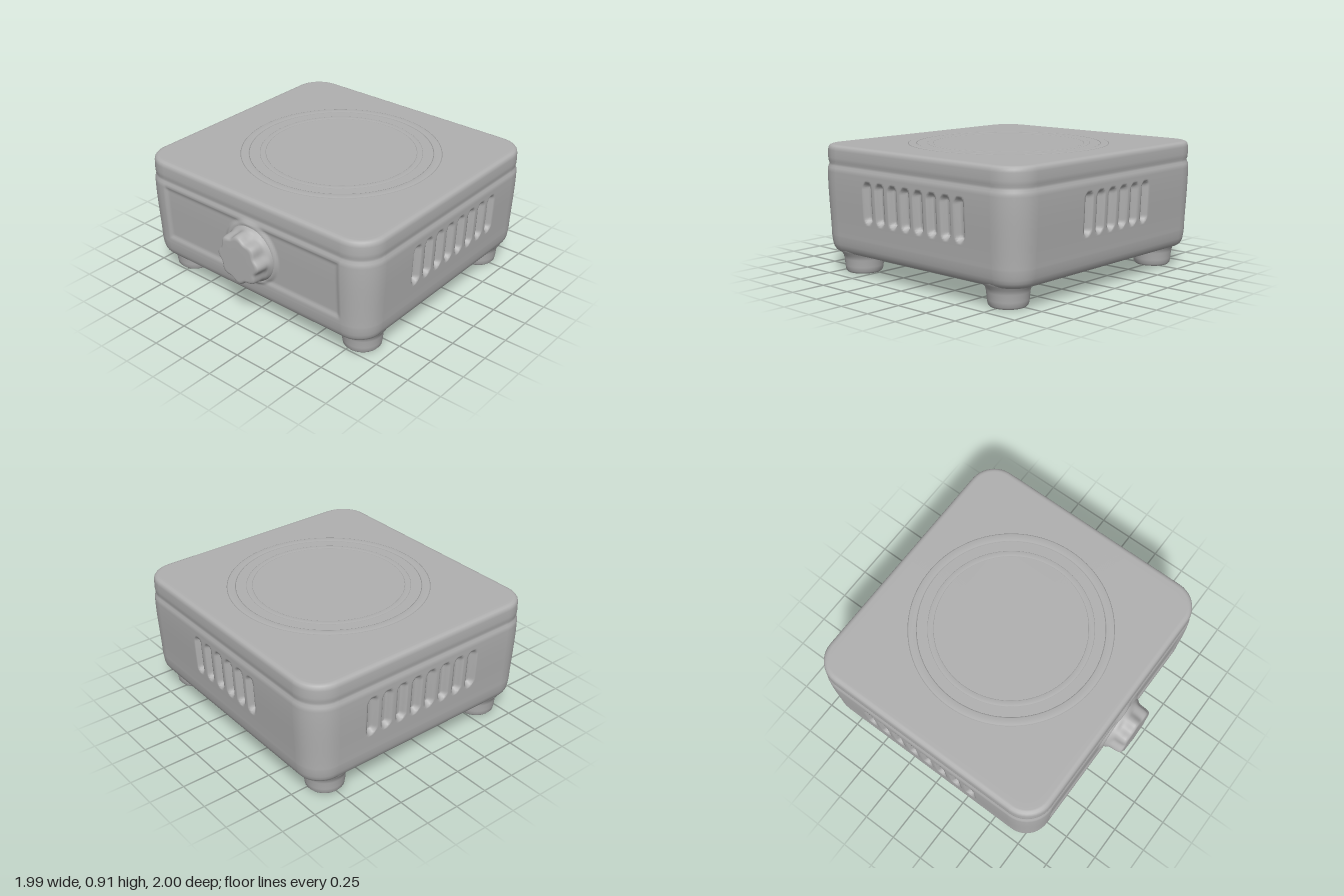
import * as THREE from 'three';

const HALF_X = 0.995, HALF_Z = 0.935, MID_Z = -0.065, CORNER = 0.2;
const smooth = THREE.MathUtils.smoothstep;

// Skin a stack of closed rings (each ring: [x, y, z] by index) with smooth normals.
function loft(rowCount, ringCount, point) {
  const pos = [], index = [];
  for (let j = 0; j < rowCount; j++) {
    for (let i = 0; i < ringCount; i++) pos.push(...point(i, j));
  }
  for (let j = 0; j < rowCount - 1; j++) {
    for (let i = 0; i < ringCount; i++) {
      const k = (i + 1) % ringCount;
      const a = j * ringCount + i, b = j * ringCount + k;
      const c = a + ringCount, d = b + ringCount;
      index.push(a, c, b, b, c, d);
    }
  }
  const geo = new THREE.BufferGeometry();
  geo.setAttribute('position', new THREE.Float32BufferAttribute(pos, 3));
  geo.setIndex(index);
  geo.computeVertexNormals();
  return geo;
}

// Rounded-rectangle outline with outward normals, running from +x towards +z.
function outline() {
  const pts = [], steps = 140, arc = 10;
  const sides = ['right', 'front', 'left', 'back'];
  for (let s = 0; s < 4; s++) {
    const a = s * Math.PI / 2, nx = Math.round(Math.cos(a)), nz = Math.round(Math.sin(a));
    const out = s % 2 ? HALF_Z : HALF_X;
    const run = (s % 2 ? HALF_X : HALF_Z) - CORNER;
    for (let i = 0; i < steps; i++) {
      const u = -run + 2 * run * i / steps;
      pts.push({ x: nx * out - nz * u, z: nz * out + nx * u, nx, nz, side: sides[s] });
    }
    const cx = nx * (out - CORNER) - nz * run, cz = nz * (out - CORNER) + nx * run;
    for (let i = 0; i < arc; i++) {
      const t = a + i / arc * Math.PI / 2, c = Math.cos(t), n = Math.sin(t);
      pts.push({ x: cx + c * CORNER, z: cz + n * CORNER, nx: c, nz: n, side: 'corner' });
    }
  }
  return pts;
}

// Depth of a row of upright rounded vent slots.
function slots(u, y, first, pitch, count) {
  const i = THREE.MathUtils.clamp(Math.round((first - u) / pitch), 0, count - 1);
  const du = u - (first - i * pitch);
  const dy = Math.max(0, 0.44 - y, y - 0.645);
  return 0.04 * (1 - smooth(Math.hypot(du, dy), 0.02, 0.042));
}

// Inward offset of the walls: vents, front panel and the collar round the knob.
function relief(p, y) {
  const z = p.z + MID_Z;
  if (p.side === 'right' || p.side === 'left') return slots(z, y, 0.33, 0.123, 8);
  if (p.side === 'back') return slots(p.x, y, 0.29, 0.123, 6);
  if (p.side === 'front') {
    const edge = Math.max(Math.abs(p.x) - 0.78, Math.abs(y - 0.52) - 0.21);
    const panel = 0.012 * (1 - smooth(edge, -0.03, 0.01));
    const r = Math.hypot(p.x - 0.03, y - 0.51);
    return panel - 0.018 * (1 - smooth(Math.abs(r - 0.2), 0.01, 0.04));
  }
  return 0;
}

function bodyGeometry() {
  // Rows: height, inset, scale about the centre
  const rows = [
    [0.148, 0.09, 0], [0.148, 0.09, 0.5], [0.148, 0.09, 0.96], [0.148, 0.085, 1],
    [0.152, 0.06, 1], [0.165, 0.043, 1], [0.185, 0.031, 1], [0.21, 0.024, 1], [0.24, 0.02, 1],
  ];
  for (let y = 0.264; y < 0.74; y += 0.012) rows.push([y, 0.018 * (1 - smooth(y, 0.2, 0.7)), 1]);
  rows.push(
    [0.75, 0.003, 1], [0.765, 0.011, 1], [0.78, 0.012, 1], [0.795, 0.007, 1], [0.82, 0.005, 1],
    [0.87, 0.006, 1], [0.888, 0.009, 1], [0.9, 0.018, 1], [0.906, 0.032, 1],
    [0.907, 0.045, 1], [0.907, 0.05, 0.97], [0.907, 0.05, 0.5], [0.907, 0.05, 0],
  );
  const ring = outline();
  return loft(rows.length, ring.length, (i, j) => {
    const p = ring[i], [y, inset, s] = rows[j];
    const d = inset + (y > 0.25 && y < 0.76 ? relief(p, y) : 0);
    return [(p.x - p.nx * d) * s, y, (p.z - p.nz * d) * s + MID_Z];
  });
}

// Scalloped knob, built upright and then turned to face the front.
function knobGeometry() {
  const rows = [
    [-0.02, 0.205, 0], [0.015, 0.2, 0], [0.03, 0.188, 0.004], [0.05, 0.182, 0.01],
    [0.085, 0.18, 0.012], [0.112, 0.176, 0.012], [0.124, 0.17, 0.011], [0.13, 0.158, 0.009],
    [0.131, 0.145, 0.006], [0.131, 0.08, 0], [0.131, 0, 0],
  ];
  const n = 96;
  const geo = loft(rows.length, n, (i, j) => {
    const t = i / n * Math.PI * 2, [h, r, wave] = rows[j];
    const q = r + wave * (Math.cos(8 * (t - Math.PI / 2)) - 0.4);
    return [Math.cos(t) * q, h, Math.sin(t) * q];
  });
  return geo.rotateX(Math.PI / 2);
}

export function createModel() {
  const model = new THREE.Group();
  const grey = new THREE.MeshStandardMaterial({ color: 0xb0b0b0 });
  grey.name = 'matte grey';

  const add = (name, geo, x = 0, y = 0, z = 0) => {
    const mesh = new THREE.Mesh(geo, grey);
    mesh.name = name;
    mesh.position.set(x, y, z);
    model.add(mesh);
    return mesh;
  };

  // Housing with vents
  add('body', bodyGeometry());

  // Control knob
  add('knob', knobGeometry(), 0.035, 0.51, 0.869);

  // Faint heating-zone rings on the top plate
  for (const [r, w] of [[0.675, 0.035], [0.55, 0.025]]) {
    const ring = new THREE.TorusGeometry(r, w, 8, 96).scale(1, 1, 0.12).rotateX(-Math.PI / 2);
    add('heatingRing', ring, 0.03, 0.906, -0.075);
  }

  // Feet
  const footProfile = [[0, 0], [0.1, 0], [0.118, 0.004], [0.13, 0.018], [0.135, 0.05],
    [0.139, 0.1], [0.147, 0.13], [0.165, 0.152], [0.17, 0.17]]
    .map(([x, y]) => new THREE.Vector2(x, y));
  const foot = new THREE.LatheGeometry(footProfile, 40);
  for (const x of [-0.785, 0.785]) {
    for (const z of [0.62, -0.755]) add('foot', foot, x, 0, z);
  }

  return model;
}
